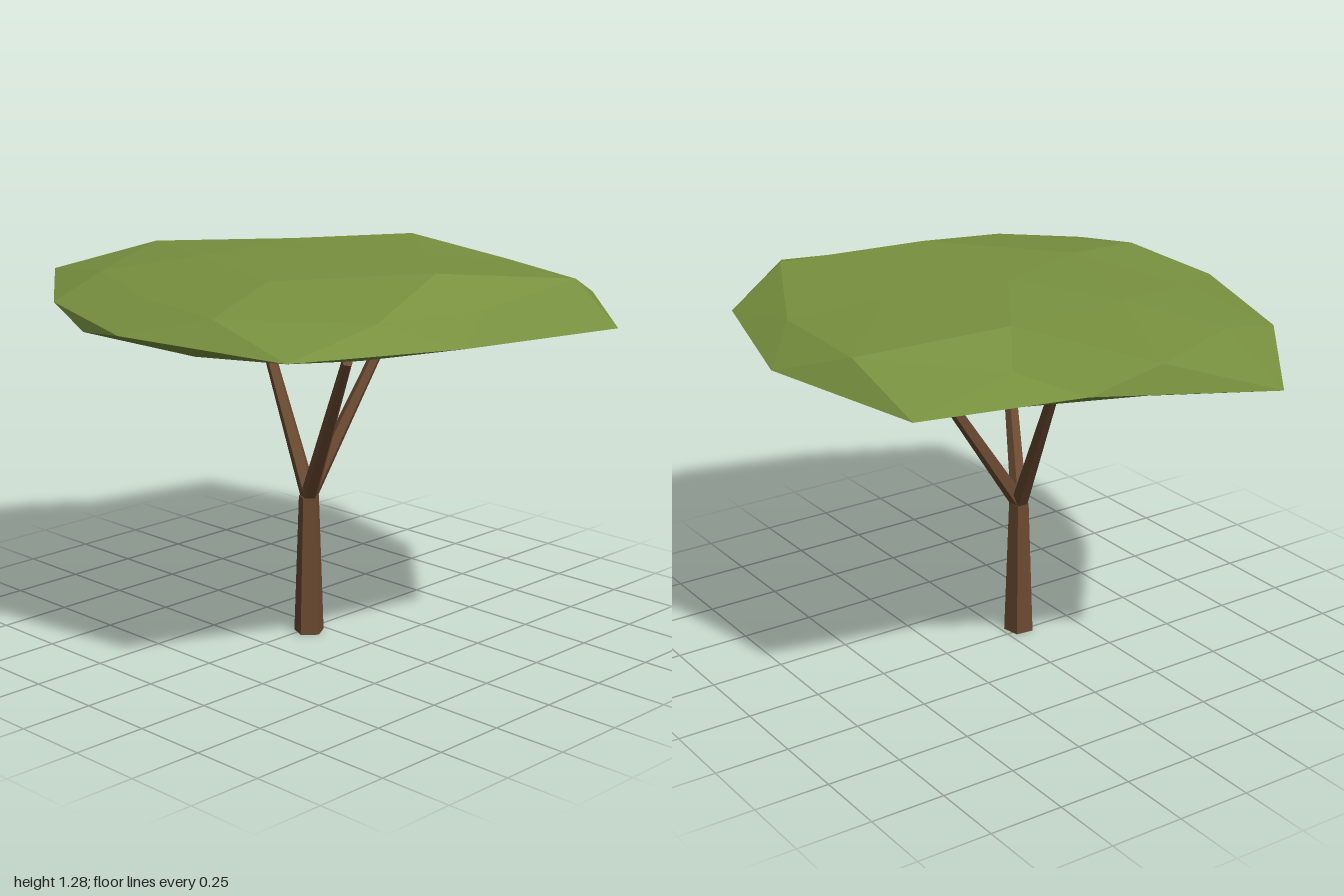
import * as THREE from 'three';

const bark = new THREE.MeshStandardMaterial({ color: 0x6b4a32 });
bark.name = 'bark brown';
const leaf = new THREE.MeshStandardMaterial({ color: 0x78913f });
leaf.name = 'leaf green';

// Tapered five-sided limb between two points, with faceted sides
function limb(name, from, to, r0, r1, turn) {
  const a = new THREE.Vector3(...from), b = new THREE.Vector3(...to);
  const dir = b.clone().sub(a);
  const geo = new THREE.CylinderGeometry(r1, r0, dir.length(), 5).rotateY(turn).toNonIndexed();
  geo.computeVertexNormals();
  const mesh = new THREE.Mesh(geo, bark);
  mesh.name = name;
  mesh.position.copy(a).add(b).multiplyScalar(0.5);
  mesh.quaternion.setFromUnitVectors(new THREE.Vector3(0, 1, 0), dir.normalize());
  return mesh;
}

// Half of a two-step icosphere: rim (10), shoulder (10), crown (5) and a pole
function cap(out, rim, shoulder, crown, pole, shift, up) {
  const tri = (a, b, c) => out.push(...a, ...(up ? c : b), ...(up ? b : c));
  for (let k = 0; k < 10; k++) {
    const n = (k + 1) % 10;
    tri(shoulder[k], rim[k], shoulder[n]);
    tri(shoulder[n], rim[k], rim[n]);
  }
  for (let i = 0; i < 5; i++) {
    const j = (i + 1) % 5, s = (k) => shoulder[(2 * i + shift + k) % 10];
    tri(pole, crown[i], crown[j]);
    tri(crown[i], s(0), s(1));
    tri(crown[i], s(1), crown[j]);
    tri(crown[j], s(1), s(2));
  }
}

function canopy() {
  const rim = [[0.86, 0.26], [0.63, 0.76], [0.01, 0.855], [-0.53, 0.67], [-1, 0.295],
    [-0.72, -0.21], [-0.6, -0.74], [0.01, -0.86], [0.59, -0.69], [1, -0.28]]
    .map(([x, z]) => [x, 1.14, z]);
  // Upper dome
  const shoulder = [[0.71, 1.195, 0], [0.65, 1.205, 0.41], [0.28, 1.21, 0.72], [-0.18, 1.195, 0.6],
    [-0.6, 1.2, 0.41], [-0.8, 1.225, 0], [-0.53, 1.19, -0.35], [-0.25, 1.23, -0.73],
    [0.23, 1.205, -0.68], [0.71, 1.232, -0.44]];
  const crown = [[0.51, 1.28, 0], [0.16, 1.26, 0.38], [-0.33, 1.258, 0.21],
    [-0.35, 1.26, -0.23], [0.16, 1.243, -0.35]];
  // Shallow underside
  const ring = (count, offset, radii, y) => radii.map((r, i) => {
    const t = offset + (i * 2 * Math.PI) / count;
    return [r * Math.cos(t), y, r * Math.sin(t)];
  });
  const under = ring(10, 0, [0.74, 0.78, 0.8, 0.815, 0.8, 0.72, 0.7, 0.74, 0.74, 0.8], 1.1);
  const belly = ring(5, Math.PI / 5, [0.46, 0.42, 0.46, 0.48, 0.46], 1.07);

  const pos = [];
  cap(pos, rim, shoulder, crown, [0, 1.275, 0], 0, true);
  cap(pos, rim, under, belly, [0, 1.063, 0], 1, false);
  const geo = new THREE.BufferGeometry();
  geo.setAttribute('position', new THREE.Float32BufferAttribute(pos, 3));
  geo.computeVertexNormals();
  const mesh = new THREE.Mesh(geo, leaf);
  mesh.name = 'canopy';
  return mesh;
}

export function createModel() {
  const tree = new THREE.Group();
  tree.name = 'flat-topped tree';
  tree.add(limb('trunk', [0.018, 0, 0.06], [0.018, 0.475, 0.06], 0.052, 0.035, 0.2));
  // Three branches spreading from the top of the trunk
  const tips = [[0.36, 1.015, 0.235], [-0.365, 1.015, -0.08], [0.065, 1.02, -0.285]];
  tips.forEach((tip, i) => tree.add(limb('branch' + (i + 1), [0.018, 0.475, 0.06], tip, 0.029, 0.018, 0.2)));
  tree.add(canopy());
  return tree;
}
